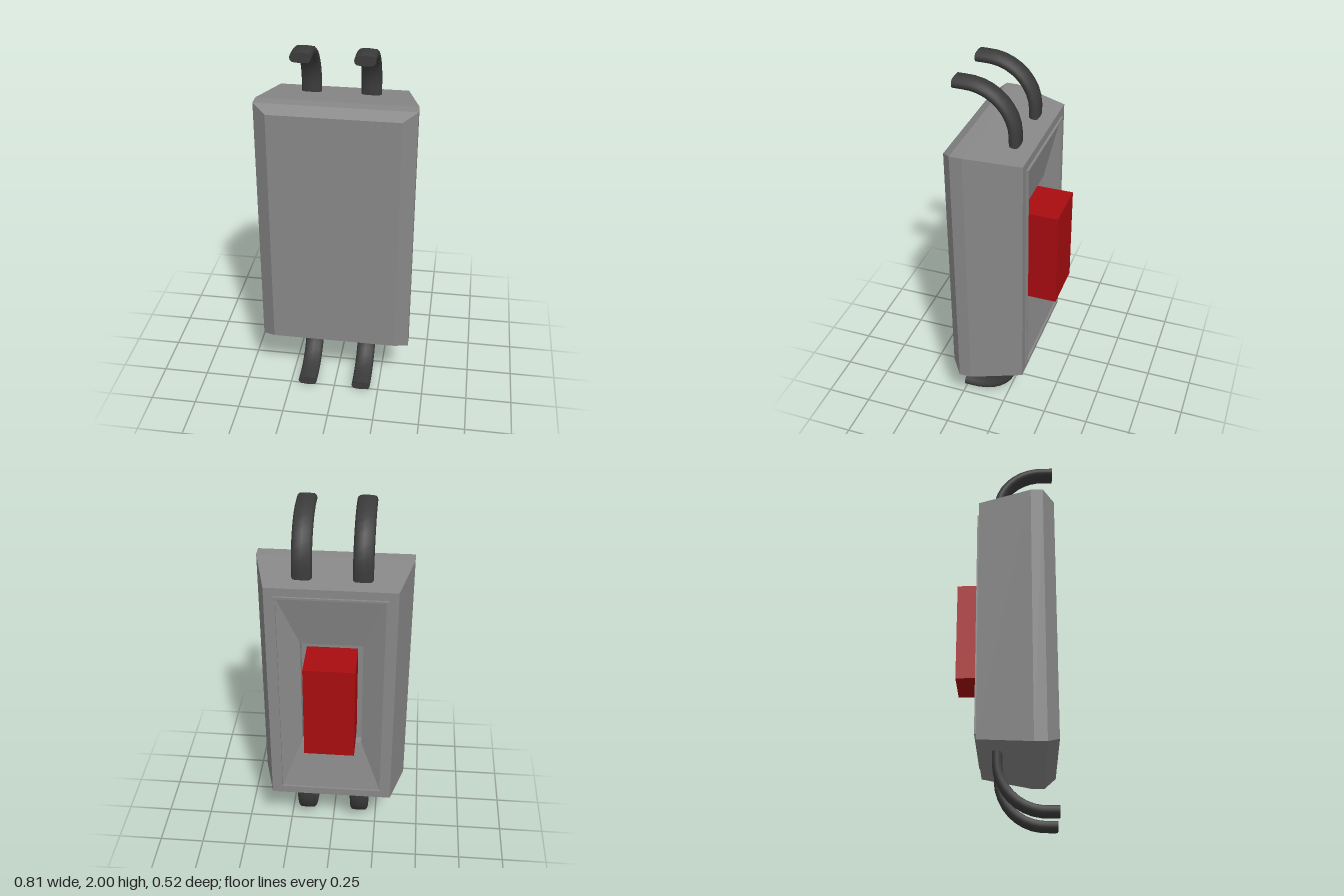
import * as THREE from 'three';

const mat = (color, flatShading = false) => new THREE.MeshStandardMaterial({ color, flatShading });

// Lofts rectangles [halfWidth, halfHeight, z] from front to back, closing both ends
function rectLoft(rings) {
  const corners = [[1, 1], [-1, 1], [-1, -1], [1, -1]];
  const pos = [], index = [];
  for (const [w, h, z] of rings) for (const [sx, sy] of corners) pos.push(sx * w, sy * h, z);
  for (let r = 0; r < rings.length - 1; r++) {
    for (let i = 0; i < 4; i++) {
      const j = (i + 1) % 4, a = r * 4, b = a + 4;
      index.push(a + i, b + i, b + j, a + i, b + j, a + j);
    }
  }
  const e = (rings.length - 1) * 4;
  index.push(0, 1, 2, 0, 2, 3, e + 3, e + 2, e + 1, e + 3, e + 1, e);
  const g = new THREE.BufferGeometry();
  g.setAttribute('position', new THREE.Float32BufferAttribute(pos, 3));
  g.setIndex(index);
  const flat = g.toNonIndexed();
  flat.computeVertexNormals();
  return flat;
}

// Widens a round section along x into a flat cable section
function widen(geometry, amount) {
  const p = geometry.attributes.position;
  for (let i = 0; i < p.count; i++) {
    const x = p.getX(i);
    if (Math.abs(x) > 1e-4) p.setX(i, x + Math.sign(x) * amount);
  }
  return geometry;
}

// Flat cable leaving the housing end and curling to the front
function cable(side, end, material) {
  const R = 0.026, top = 0.974, r = 0.245, k = r * 0.5523;
  const v = (y, z) => new THREE.Vector3(0, end * y, z);
  const path = new THREE.CurvePath();
  path.add(new THREE.LineCurve3(v(top, 0.26), v(top, 0.2)));
  path.add(new THREE.CubicBezierCurve3(
    v(top, 0.2), v(top, 0.2 - k), v(top - r + k, 0.2 - r), v(top - r, 0.2 - r)));
  path.add(new THREE.LineCurve3(v(top - r, 0.2 - r), v(0.65, 0.2 - r)));
  const group = new THREE.Group();
  group.name = 'cable';
  const tube = new THREE.Mesh(widen(new THREE.TubeGeometry(path, 12, R, 12), R), material);
  tube.name = 'cableSheath';
  const cap = new THREE.Mesh(widen(new THREE.CircleGeometry(R, 12), R), material);
  cap.name = 'cableEnd';
  cap.position.set(0, end * top, 0.26);
  group.add(tube, cap);
  group.position.set(side * 0.153, 1, 0);
  return group;
}

export function createModel() {
  const model = new THREE.Group();
  model.name = 'inlineSwitch';

  // Bevelled housing, raised rim and sloping recess with a slot for the button
  const housing = new THREE.Mesh(rectLoft([
    [0.335, 0.67, 0.26],
    [0.407, 0.705, 0.2],
    [0.407, 0.705, 0.135],
    [0.335, 0.67, -0.143],
    [0.285, 0.625, -0.143],
    [0.285, 0.625, -0.154],
    [0.275, 0.615, -0.154],
    [0.275, 0.615, -0.143],
    [0.163, 0.32, -0.09],
    [0.163, 0.32, -0.04],
  ]), mat(0x888888, true));
  housing.name = 'housing';
  housing.position.y = 1.003;
  model.add(housing);

  // Red push button
  const button = new THREE.Mesh(new THREE.BoxGeometry(0.268, 0.54, 0.235), mat(0xa80c10, true));
  button.name = 'button';
  button.position.set(0, 1.004, -0.146);
  model.add(button);

  // Two cables at each end
  const dark = mat(0x3c3c3c);
  for (const end of [1, -1]) for (const side of [1, -1]) model.add(cable(side, end, dark));

  return model;
}
